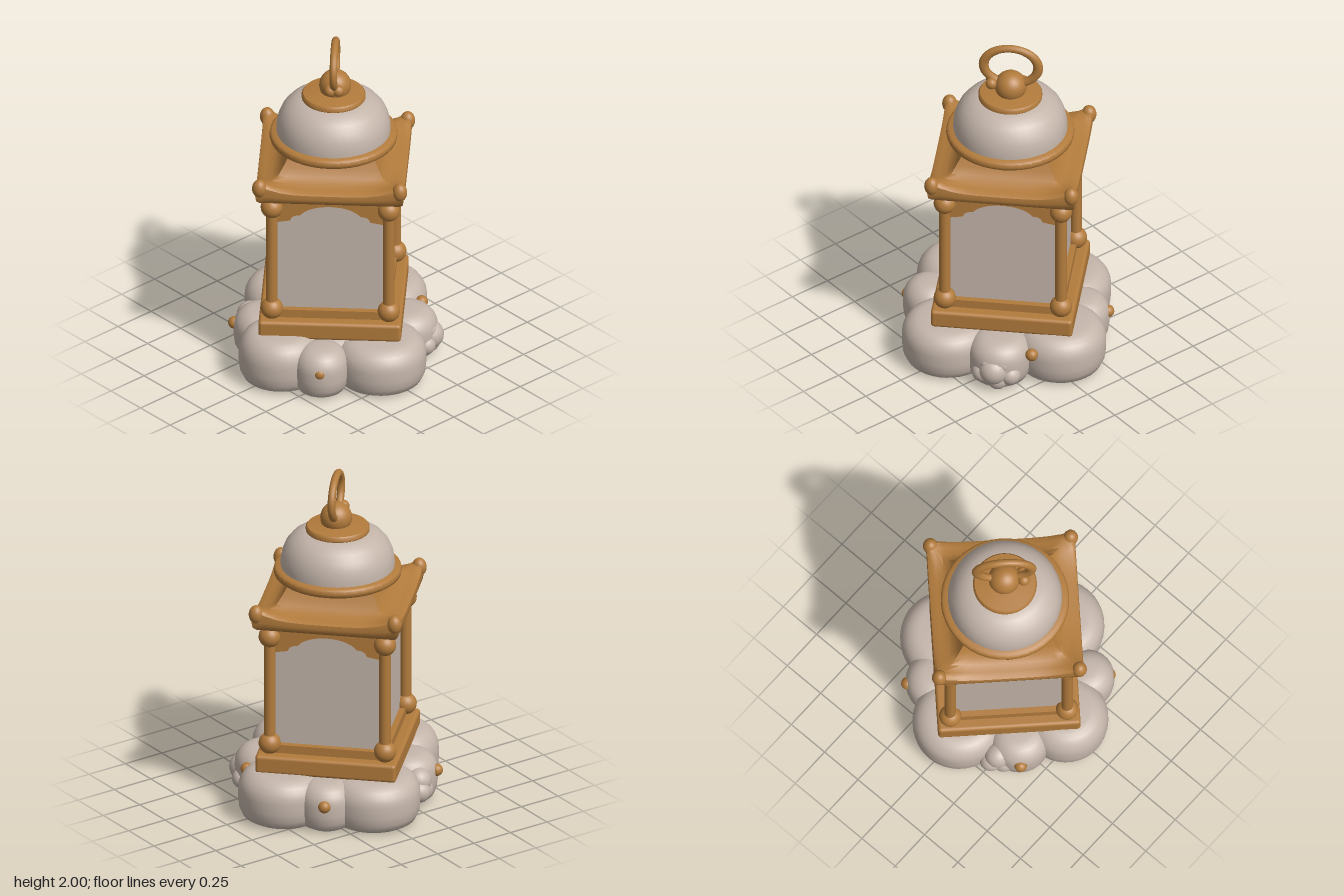
import * as THREE from 'three';
import { toCreasedNormals } from 'three/addons/utils/BufferGeometryUtils.js';
import { RoundedBoxGeometry } from 'three/addons/geometries/RoundedBoxGeometry.js';

const gold = new THREE.MeshStandardMaterial({ color: 0xb27b3c });
gold.name = 'gold';
const ivory = new THREE.MeshStandardMaterial({ color: 0xc4b5aa });
ivory.name = 'ivory';

function add(parent, name, geometry, material, x = 0, y = 0, z = 0) {
  const mesh = new THREE.Mesh(geometry, material);
  mesh.name = name;
  mesh.position.set(x, y, z);
  parent.add(mesh);
  return mesh;
}

function lathe(points, segments = 40) {
  const profile = points.map(([r, y]) => new THREE.Vector2(r, y));
  return toCreasedNormals(new THREE.LatheGeometry(profile, segments), 0.7);
}

// Puffy lobe with a rounded rim, open underneath
function lobeGeometry(R, h) {
  const pts = [[R - 0.06, 0], [R - 0.025, 0.02], [R - 0.006, 0.06], [R, 0.11], [R, 0.17]];
  for (let i = 1; i <= 6; i++) {
    const a = (i / 6) * Math.PI / 2;
    pts.push([R - 0.11 * (1 - Math.cos(a)), 0.17 + (h - 0.17) * Math.sin(a)]);
  }
  pts.push([0, h]);
  return lathe(pts, 36);
}

// Square roof with corners on the x and z axes; each ring is [half diagonal, y, corner lift]
function roofGeometry() {
  const rings = [
    [0.0, 1.175, 0], [0.56, 1.17, 0], [0.585, 1.185, 0.005], [0.595, 1.21, 0.03],
    [0.59, 1.235, 0.07], [0.57, 1.243, 0.07], [0.53, 1.248, 0.045], [0.47, 1.26, 0.016],
    [0.42, 1.285, 0.003], [0.385, 1.33, 0], [0.36, 1.36, 0], [0.34, 1.39, 0],
  ];
  const n = 12, count = 4 * n, positions = [], index = [];
  for (const [r, y, lift] of rings) {
    for (let j = 0; j < count; j++) {
      const a = Math.floor(j / n) * Math.PI / 2, u = (j % n) / n;
      const x = Math.cos(a) * (1 - u) + Math.cos(a + Math.PI / 2) * u;
      const z = Math.sin(a) * (1 - u) + Math.sin(a + Math.PI / 2) * u;
      positions.push(r * x, y + lift * Math.abs(1 - 2 * u) ** 4, r * z);
    }
  }
  for (let i = 0; i < rings.length - 1; i++) {
    for (let j = 0; j < count; j++) {
      const a = i * count + j, b = i * count + (j + 1) % count;
      if (i > 0) index.push(a, a + count, b);
      index.push(b, a + count, b + count);
    }
  }
  const g = new THREE.BufferGeometry();
  g.setAttribute('position', new THREE.Float32BufferAttribute(positions, 3));
  g.setIndex(index);
  return toCreasedNormals(g, 0.75);
}

// Fretted valance with a shallow arch and stepped shoulders
function valanceGeometry() {
  const s = new THREE.Shape();
  s.moveTo(-0.31, 1.19);
  s.lineTo(-0.31, 1.01);
  s.lineTo(-0.225, 1.025);
  s.quadraticCurveTo(-0.22, 1.06, -0.17, 1.06);
  s.bezierCurveTo(-0.11, 1.14, 0.11, 1.14, 0.17, 1.06);
  s.quadraticCurveTo(0.22, 1.06, 0.225, 1.025);
  s.lineTo(0.31, 1.01);
  s.lineTo(0.31, 1.19);
  return new THREE.ExtrudeGeometry(s, { depth: 0.03, bevelEnabled: false, curveSegments: 14 });
}

function buildCloud() {
  const cloud = new THREE.Group();
  cloud.name = 'cloudBase';
  const lobes = [
    [0.01, 0.42, 0.24, 0.305], [-0.07, -0.405, 0.26, 0.29], [-0.40, -0.02, 0.262, 0.285],
    [0.40, 0.02, 0.26, 0.285], [-0.26, 0.31, 0.17, 0.28], [0.27, 0.35, 0.155, 0.285],
    [-0.31, -0.28, 0.165, 0.28], [0.27, -0.29, 0.18, 0.28], [0, 0, 0.42, 0.285],
  ];
  for (const [x, z, R, h] of lobes) {
    add(cloud, 'cloudLobe', lobeGeometry(R, h), ivory, x, 0, z);
    add(cloud, 'undersidePlate', new THREE.CircleGeometry(R - 0.055, 36), gold, x, 0.001, z)
      .rotation.x = Math.PI / 2;
  }
  // Small puffs on the back and front corners
  const puffs = [
    [0.375, 0.12, -0.37, 0.085], [0.305, 0.09, -0.43, 0.06], [0.41, 0.09, -0.31, 0.06],
    [0.335, 0.165, -0.405, 0.05], [0.395, 0.165, -0.345, 0.05], [0.36, 0.06, -0.385, 0.06],
    [-0.445, 0.11, 0.26, 0.065], [-0.41, 0.16, 0.28, 0.075], [-0.39, 0.09, 0.31, 0.07],
  ];
  for (const [x, y, z, r] of puffs) add(cloud, 'cloudPuff', new THREE.SphereGeometry(r, 20, 14), ivory, x, y, z);
  const pearls = [[-0.38, 0.175, 0.425], [0.36, 0.175, 0.44], [0.19, 0.205, -0.48], [-0.43, 0.175, -0.38]];
  for (const [x, y, z] of pearls) add(cloud, 'goldPearl', new THREE.SphereGeometry(0.036, 16, 12), gold, x, y, z);
  return cloud;
}

export function createModel() {
  const model = new THREE.Group();
  model.name = 'lantern';
  model.add(buildCloud());

  const body = new THREE.Group();
  body.name = 'lanternBody';
  body.position.set(-0.024, 0, -0.006);
  model.add(body);

  // Square chamber, turned so that a corner faces the front
  const chamber = new THREE.Group();
  chamber.name = 'chamber';
  chamber.rotation.y = Math.PI / 4;
  body.add(chamber);
  add(chamber, 'platform', new RoundedBoxGeometry(0.805, 0.11, 0.805, 3, 0.02), gold, 0, 0.335, 0);
  add(chamber, 'upperStep', new THREE.BoxGeometry(0.68, 0.06, 0.68), gold, 0, 0.41, 0);
  add(chamber, 'lightPanels', new THREE.BoxGeometry(0.61, 0.74, 0.61), ivory, 0, 0.8, 0);
  const valance = valanceGeometry();
  for (let i = 0; i < 4; i++) {
    const side = new THREE.Group();
    side.name = 'sideFrame';
    side.rotation.y = i * Math.PI / 2;
    chamber.add(side);
    add(side, 'archedValance', valance, gold, 0, 0, 0.307);
    add(side, 'cornerPost', new THREE.CylinderGeometry(0.033, 0.033, 0.78, 20), gold, 0.33, 0.79, 0.33);
    for (const [y, r] of [[0.445, 0.063], [1.105, 0.063]]) {
      add(side, 'postBall', new THREE.SphereGeometry(r, 24, 16), gold, 0.33, y, 0.33);
    }
  }

  // Sweeping roof with rounded corner tips
  add(body, 'roof', roofGeometry(), gold);
  for (let i = 0; i < 4; i++) {
    const a = i * Math.PI / 2;
    const tip = add(body, 'roofTip', new THREE.SphereGeometry(0.042, 20, 14), gold, 0.56 * Math.cos(a), 1.265, 0.56 * Math.sin(a));
    tip.scale.y = 1.3;
  }

  // Dome, its rim and cap
  add(body, 'domeRim', lathe([[0, 1.375], [0.345, 1.375], [0.358, 1.385], [0.362, 1.402], [0.358, 1.42], [0.345, 1.43], [0.3, 1.432]]), gold);
  add(body, 'dome', lathe([[0.322, 1.42], [0.322, 1.46], [0.314, 1.51], [0.294, 1.56], [0.262, 1.6], [0.222, 1.628], [0.18, 1.642], [0, 1.645]]), ivory);
  add(body, 'capDisc', lathe([[0, 1.636], [0.172, 1.636], [0.18, 1.645], [0.18, 1.665], [0.172, 1.675], [0.09, 1.685], [0, 1.69]]), gold);
  add(body, 'finialBall', new THREE.SphereGeometry(0.09, 28, 20), gold, 0.004, 1.722, -0.008);

  // Hanging ring on the diagonal, with its little fixing knobs
  const ring = add(body, 'hangingRing', new THREE.TorusGeometry(0.121, 0.022, 14, 48), gold, 0.002, 1.857, -0.008);
  ring.scale.x = 1.28;
  ring.rotation.y = -Math.PI / 4;
  for (const [x, z] of [[0.065, 0.085], [0.095, 0.05]]) {
    add(body, 'ringKnob', new THREE.SphereGeometry(0.034, 16, 12), gold, x, 1.745, z);
  }
  return model;
}
